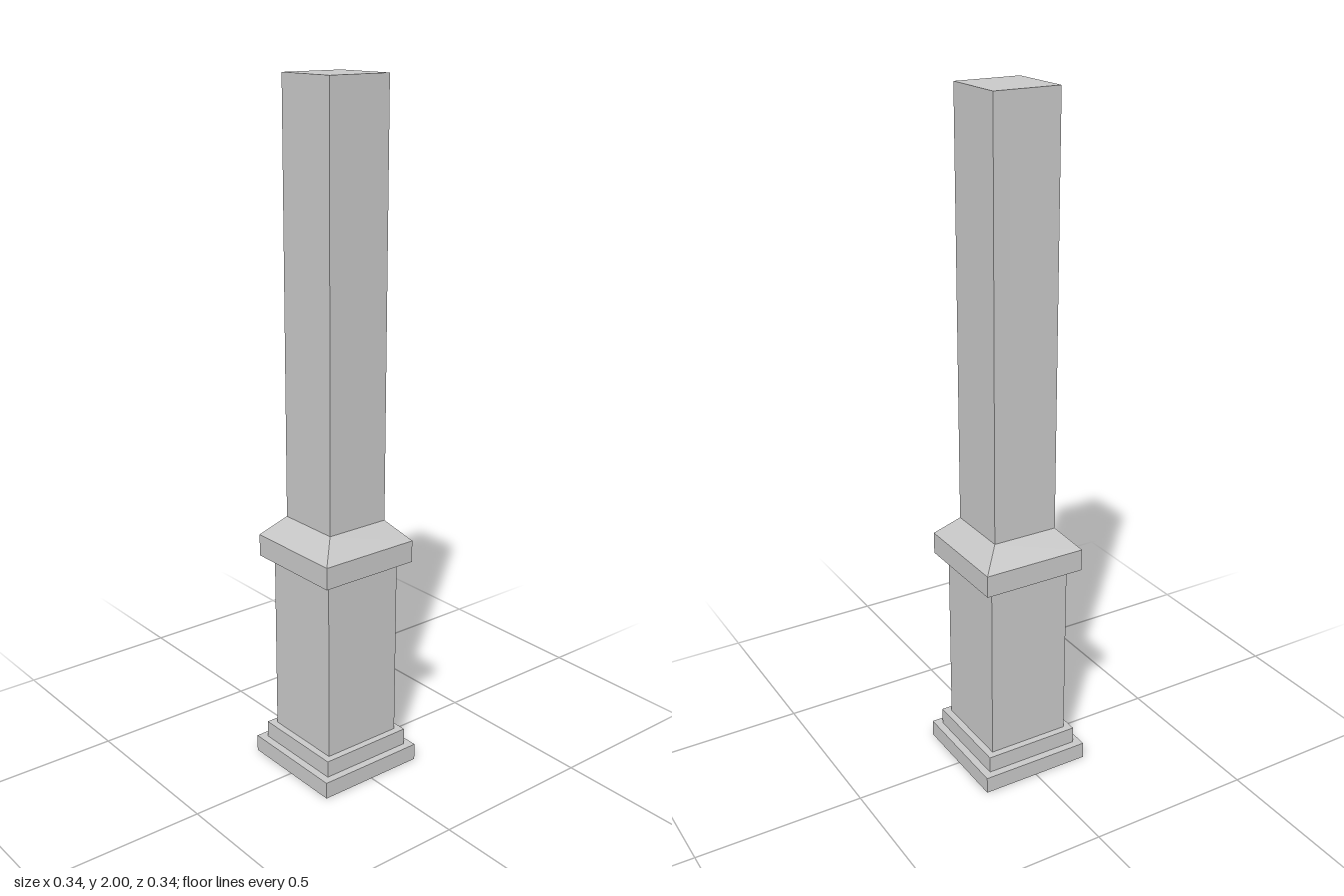
import * as THREE from 'three';

const stone = new THREE.MeshStandardMaterial({ color: 0xc8c8c8, side: THREE.DoubleSide, flatShading: true });
stone.name = 'stone grey';

// Square band: joins successive [half width, height] rings with flat faces
function squareShell(name, profile) {
  const points = profile.map(([half, y]) => new THREE.Vector2(half * Math.SQRT2, y));
  const geometry = new THREE.LatheGeometry(points, 4, Math.PI / 4).toNonIndexed();
  geometry.computeVertexNormals();
  const mesh = new THREE.Mesh(geometry, stone);
  mesh.name = name;
  return mesh;
}

export function createModel() {
  const column = new THREE.Group();
  column.name = 'squareColumn';

  const plinth = 0.169, step = 0.146, shaft = 0.125, collar = 0.156, post = 0.099;

  column.add(
    // Hollow stepped foot, open underneath
    squareShell('plinth', [[plinth, 0], [plinth, 0.05], [step, 0.05]]),
    squareShell('baseStep', [[step, 0.05], [step, 0.1], [shaft, 0.1]]),
    // Pedestal and its overhanging collar with sloped top
    squareShell('pedestalShaft', [[shaft, 0.1], [shaft, 0.645]]),
    squareShell('collar', [[shaft, 0.645], [collar, 0.645], [collar, 0.71], [post, 0.77]]),
    // Tall post closed by a flat top
    squareShell('upperPost', [[post, 0.77], [post, 2], [0, 2]])
  );
  return column;
}
